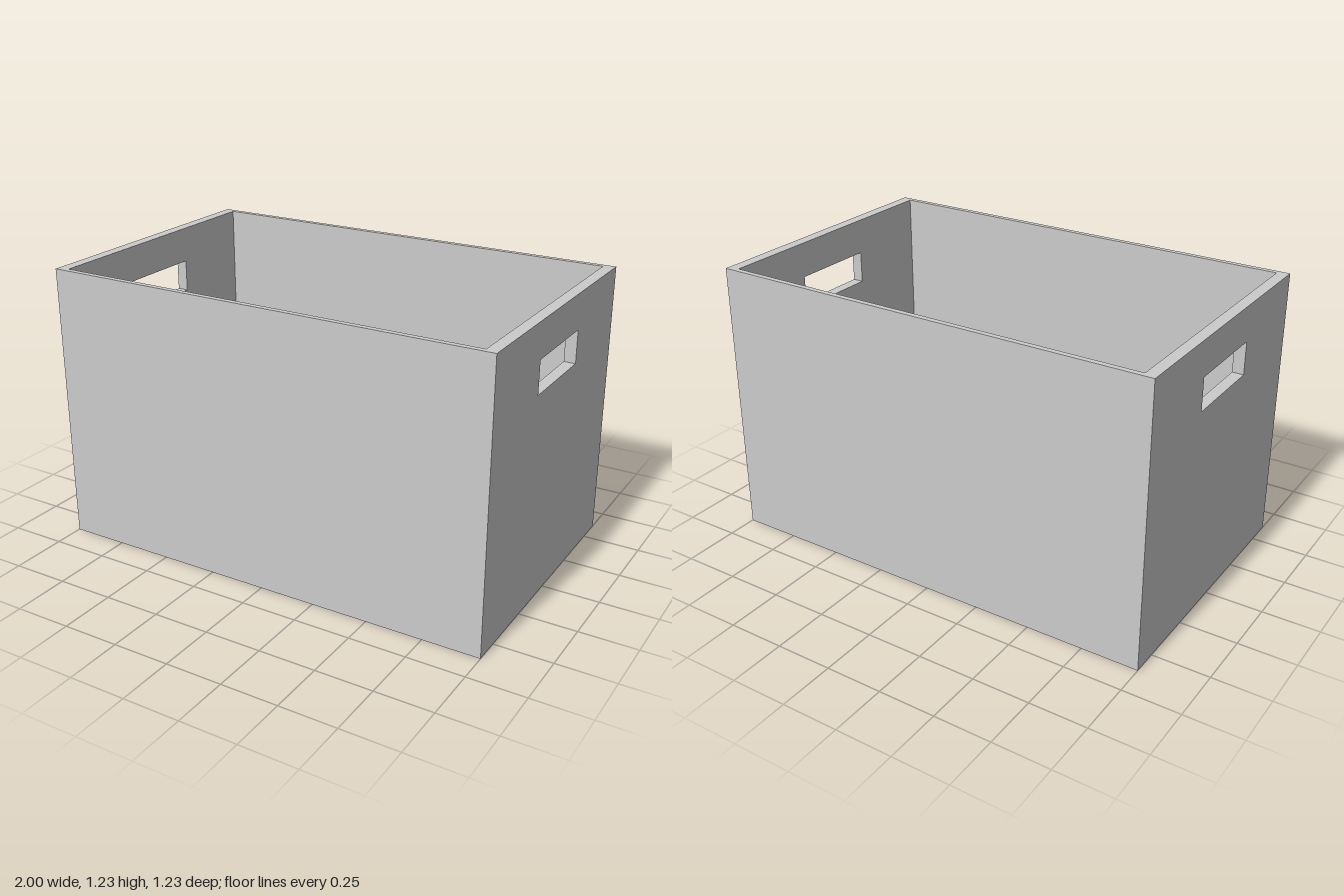
import * as THREE from 'three';

const W = 2, H = 1.23, D = 1.23;          // outer size
const SIDE = 0.05, PANEL = 0.024, FLOOR = 0.03; // thicknesses

function rect(shape, x0, y0, x1, y1) {
  shape.moveTo(x0, y0);
  shape.lineTo(x1, y0);
  shape.lineTo(x1, y1);
  shape.lineTo(x0, y1);
  shape.closePath();
  return shape;
}

export function createModel() {
  const group = new THREE.Group();
  group.name = 'storageBox';
  const material = new THREE.MeshStandardMaterial({ color: 0xcccccc });

  const add = (name, geometry, x, y, z) => {
    const mesh = new THREE.Mesh(geometry, material);
    mesh.name = name;
    mesh.position.set(x, y, z);
    group.add(mesh);
  };

  // Side walls, each with a rectangular hand hole
  const outline = rect(new THREE.Shape(), -D / 2, 0, D / 2, H);
  outline.holes.push(rect(new THREE.Path(), -0.197, 0.93, 0.197, 1.073));
  const side = new THREE.ExtrudeGeometry(outline, { depth: SIDE, bevelEnabled: false });
  side.translate(0, 0, -SIDE / 2).rotateY(Math.PI / 2);
  add('leftWall', side, W / 2 - SIDE / 2, 0, 0);
  add('rightWall', side, -W / 2 + SIDE / 2, 0, 0);

  // Thinner front and back walls between the sides
  const inner = W - 2 * SIDE;
  const panel = new THREE.BoxGeometry(inner, H, PANEL);
  add('frontWall', panel, 0, H / 2, D / 2 - PANEL / 2);
  add('backWall', panel, 0, H / 2, -D / 2 + PANEL / 2);

  // Floor
  add('floor', new THREE.BoxGeometry(inner, FLOOR, D - 2 * PANEL), 0, FLOOR / 2, 0);

  return group;
}
